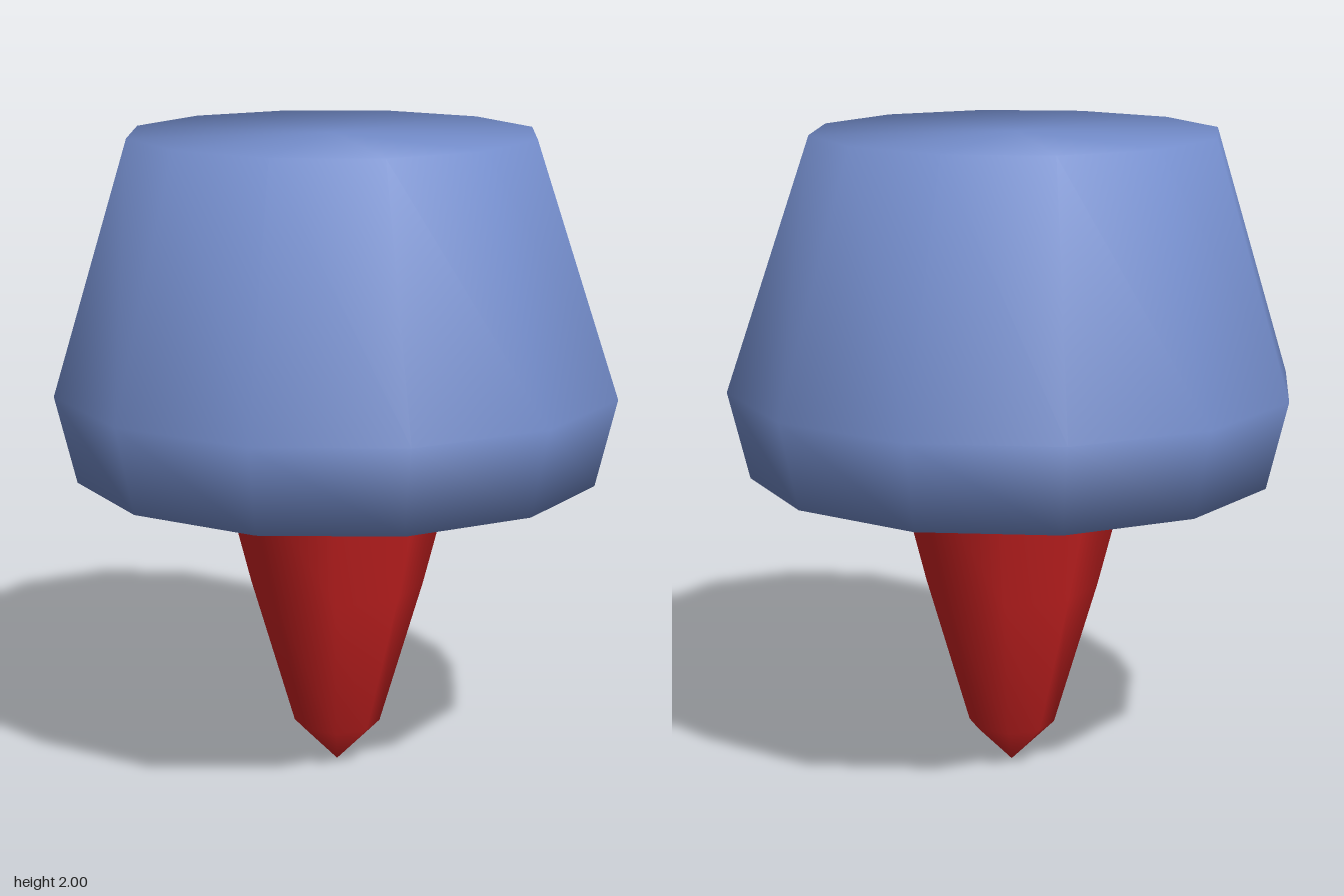
import * as THREE from 'three';

// Lathed part from a bottom-to-top profile of [radius, height]
function lathe(name, profile, sides, material) {
  const points = profile.map(([r, y]) => new THREE.Vector2(r, y));
  const mesh = new THREE.Mesh(new THREE.LatheGeometry(points, sides), material);
  mesh.name = name;
  return mesh;
}

export function createModel() {
  const blue = new THREE.MeshStandardMaterial({ color: 0x738cca });
  blue.name = 'shell blue';
  const red = new THREE.MeshStandardMaterial({ color: 0xcc2222 });
  red.name = 'flame red';

  const group = new THREE.Group();
  group.name = 'thruster';

  // Shell: recessed rim, flared skirt, tapering wall and flat top
  const shell = lathe('shell', [[0.69, 1.06], [0.81, 0.96], [0.875, 1.23], [0.627, 2], [0, 2]], 12, blue);
  // The top sits slightly off-centre
  const pos = shell.geometry.attributes.position;
  for (let i = 0; i < pos.count; i++) {
    if (pos.getY(i) > 1.99) pos.setX(i, pos.getX(i) - 0.017);
  }

  // Flat underside set inside the rim
  const underside = new THREE.Mesh(new THREE.CircleGeometry(0.69, 12).rotateX(Math.PI / 2), blue);
  underside.name = 'underside';
  underside.position.y = 1.06;

  // Pointed flame hanging from the underside
  const flame = lathe('flame', [[0, 0], [0.135, 0.13], [0.27, 0.59], [0.39, 1.06]], 8, red);

  group.add(shell, underside, flame);
  return group;
}
